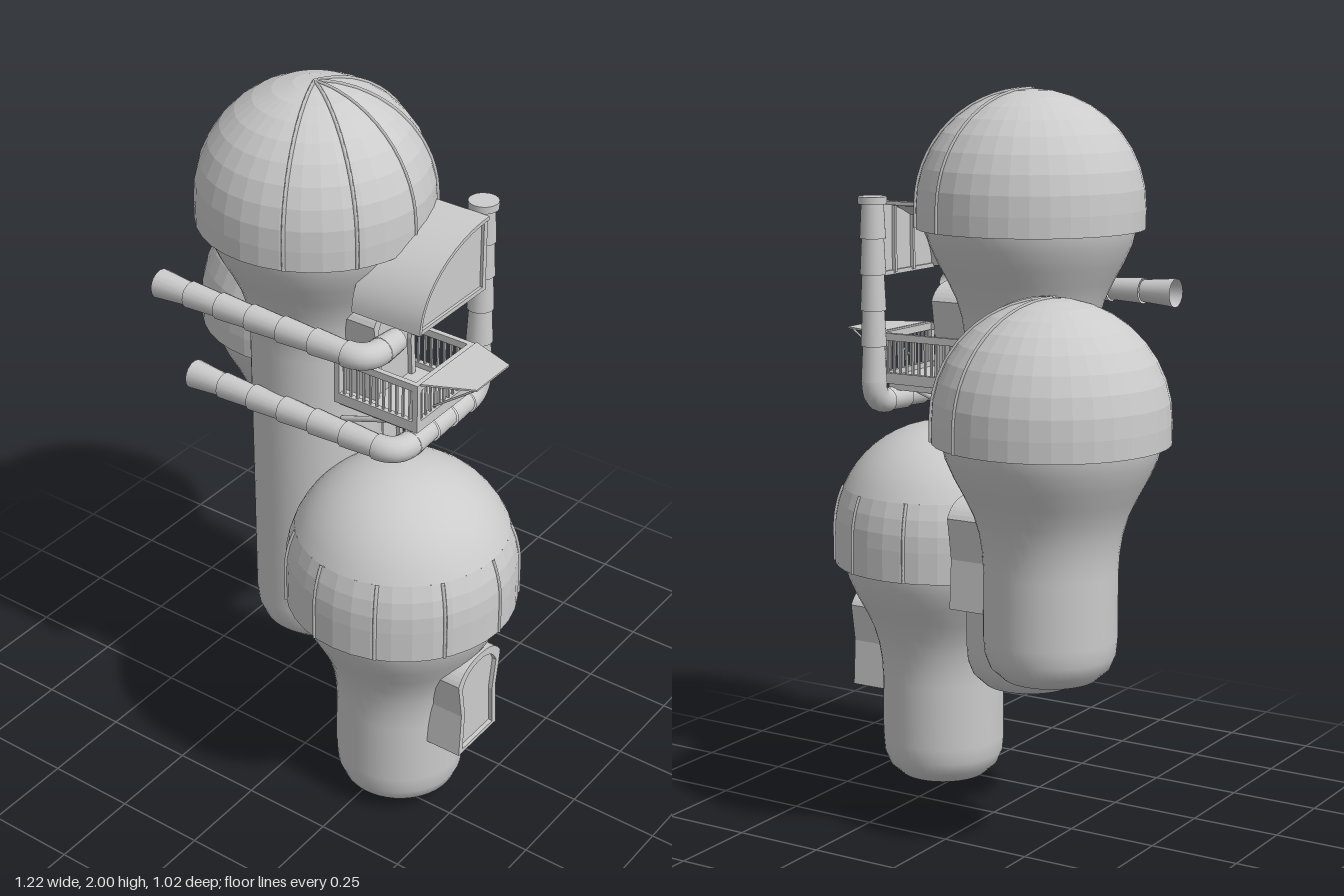
import * as THREE from 'three';
import { toCreasedNormals } from 'three/addons/utils/BufferGeometryUtils.js';

const smooth = new THREE.MeshStandardMaterial({ color: 0xcccccc, side: THREE.DoubleSide });
const flat = new THREE.MeshStandardMaterial({ color: 0xcccccc, side: THREE.DoubleSide, flatShading: true });
const V = (x, y, z) => new THREE.Vector3(x, y, z);
const R = 0.31; // cap radius

function add(parent, name, geometry, material = flat) {
  const mesh = new THREE.Mesh(geometry, material);
  mesh.name = name;
  parent.add(mesh);
  return mesh;
}

function box(parent, name, x0, x1, y0, y1, z0, z1) {
  const m = add(parent, name, new THREE.BoxGeometry(x1 - x0, y1 - y0, z1 - z0));
  m.position.set((x0 + x1) / 2, (y0 + y1) / 2, (z0 + z1) / 2);
  return m;
}

// Straight round bar between two points
function bar(parent, name, a, b, r0, r1 = r0, sides = 8, open = false) {
  const d = b.clone().sub(a);
  const m = add(parent, name, new THREE.CylinderGeometry(r1, r0, d.length(), sides, 1, open), smooth);
  m.position.copy(a).addScaledVector(d, 0.5);
  m.quaternion.setFromUnitVectors(V(0, 1, 0), d.normalize());
  return m;
}

// Cap outline radius at a height above the ball's centre
const capRadius = (h) => (h < 0 ? R : Math.sqrt(Math.max(0, R * R - h * h)));

function capProfile(from, to, steps, r = 0) {
  const a0 = Math.asin(Math.max(from / R, -1)), a1 = Math.asin(to / R), pts = [];
  for (let i = 0; i <= steps; i++) {
    const h = R * Math.sin(a0 + (a1 - a0) * i / steps);
    pts.push(new THREE.Vector2(capRadius(h) + r, h));
  }
  return pts;
}

// Arched door outline, w = half width
function arch(w, y0, y1) {
  const s = new THREE.Shape();
  s.moveTo(-w * 0.9, y0);
  s.lineTo(w * 0.9, y0);
  s.lineTo(w * 0.82, y0 + (y1 - y0) * 0.45);
  s.lineTo(w, y1 - 0.05);
  s.quadraticCurveTo(w * 0.75, y1, 0, y1);
  s.quadraticCurveTo(-w * 0.75, y1, -w, y1 - 0.05);
  s.lineTo(-w * 0.82, y0 + (y1 - y0) * 0.45);
  s.closePath();
  return s;
}

function door(parent, y0, y1) {
  const g = new THREE.Group();
  g.name = 'doorway';
  const frame = arch(0.1, y0, y1);
  frame.holes.push(arch(0.08, y0 + 0.012, y1 - 0.02));
  const solid = (s, depth) => new THREE.ExtrudeGeometry(s, { depth, bevelEnabled: false, curveSegments: 8 });
  add(g, 'doorFrame', solid(frame, 0.155));
  add(g, 'doorPanel', solid(arch(0.085, y0, y1 - 0.012), 0.143));
  g.rotation.y = Math.PI / 2;
  g.position.x = 0.1;
  parent.add(g);
}

function tower(root, name, x, z, base, top, rim, doorY0, doorY1, bandTop, ribAngles) {
  const g = new THREE.Group();
  g.name = name;
  g.position.set(x, 0, z);
  root.add(g);
  // Stem swelling into the bulb under the cap
  const pts = [[0, base], [0.07, base + 0.004], [0.125, base + 0.02], [0.158, base + 0.05], [0.172, base + 0.085],
    [0.176, base + 0.13], [0.176, rim - 0.34], [0.179, rim - 0.29], [0.187, rim - 0.24], [0.202, rim - 0.19],
    [0.226, rim - 0.14], [0.253, rim - 0.09], [0.275, rim - 0.04], [0.284, rim], [0.284, rim + 0.02]];
  add(g, 'stem', new THREE.LatheGeometry(pts.map((p) => new THREE.Vector2(...p)), 48), smooth);
  // Cap: rim underside, faceted shell, optional smooth crown
  const cap = new THREE.Group();
  cap.name = 'cap';
  cap.position.y = top - R;
  g.add(cap);
  const low = rim - (top - R), high = bandTop ? bandTop - (top - R) : R;
  const shell = [new THREE.Vector2(0.28, low), ...capProfile(low, high, bandTop ? 5 : 10)];
  add(cap, 'capShell', new THREE.LatheGeometry(shell, 36));
  if (bandTop) add(cap, 'capCrown', new THREE.LatheGeometry(capProfile(high, R, 10), 48), smooth);
  // Raised seams running down the cap
  for (const deg of ribAngles) {
    const path = capProfile(low, high, 12, 0).map((p) => V(p.x, p.y, 0));
    const rib = add(cap, 'capSeam', new THREE.TubeGeometry(new THREE.CatmullRomCurve3(path), 16, 0.005, 4), smooth);
    rib.rotation.y = THREE.MathUtils.degToRad(deg);
  }
  door(g, doorY0, doorY1);
}

// Jointed pipe: tapered lengths on straight runs, curved elbows between
function pipe(root, name, points) {
  const g = new THREE.Group(), bend = 0.06;
  g.name = name;
  root.add(g);
  for (let i = 0; i < points.length - 1; i++) {
    const dir = points[i + 1].clone().sub(points[i]).normalize();
    const a = points[i].clone().addScaledVector(dir, i ? bend : 0);
    const last = i === points.length - 2;
    const b = points[i + 1].clone().addScaledVector(dir, last ? 0 : -bend);
    const n = Math.max(1, Math.round(a.distanceTo(b) / 0.1));
    for (let k = 0; k < n; k++) {
      bar(g, 'pipeLength', a.clone().lerp(b, k / n), a.clone().lerp(b, (k + 1) / n),
        k === 0 && i === 0 ? 0.04 : 0.036, 0.031, 16, true);
    }
    if (!last) {
      const next = points[i + 2].clone().sub(points[i + 1]).normalize();
      const curve = new THREE.QuadraticBezierCurve3(b, points[i + 1], points[i + 1].clone().addScaledVector(next, bend));
      add(g, 'pipeElbow', new THREE.TubeGeometry(curve, 8, 0.035, 16), smooth);
    }
  }
  return g;
}

function balcony(root) {
  const g = new THREE.Group();
  g.name = 'balcony';
  root.add(g);
  const x0 = 0.1, x1 = 0.36, z0 = -0.025, z1 = 0.235;
  box(g, 'balconyFloor', x0, x1, 1.19, 1.205, z0, z1);
  for (const z of [0.01, 0.105, 0.2]) {
    box(g, 'floorBeam', x0, x1 - 0.02, 1.17, 1.19, z - 0.012, z + 0.012);
    bar(g, 'floorBrace', V(0.1, 1.12, z), V(0.3, 1.19, z), 0.008);
  }
  // Rails and balusters on three sides
  for (const [y, h] of [[1.31, 0.02], [1.205, 0.015]]) {
    box(g, 'rail', x0, x1, y, y + h, z1 - 0.015, z1);
    box(g, 'rail', x0, x1, y, y + h, z0, z0 + 0.015);
    box(g, 'rail', x1 - 0.015, x1, y, y + h, z0, z1);
  }
  const n = 12;
  for (let i = 0; i <= n; i++) {
    const w = i % n ? 0.003 : 0.008, t = i / n;
    const x = x0 + 0.008 + t * (x1 - x0 - 0.016), z = z0 + 0.008 + t * (z1 - z0 - 0.016);
    for (const zz of [z0 + 0.008, z1 - 0.008]) box(g, 'baluster', x - w, x + w, 1.205, 1.32, zz - w, zz + w);
    box(g, 'baluster', x1 - 0.008 - w, x1 - 0.008 + w, 1.205, 1.32, z - w, z + w);
  }
  // Tapered shelf outside the rail, on two struts
  const s = new THREE.Shape([[0.36, 0.03], [0.49, -0.015], [0.49, -0.165], [0.36, -0.225]].map(([x, y]) => new THREE.Vector2(x, y)));
  const shelf = add(g, 'shelf', new THREE.ExtrudeGeometry(s, { depth: 0.005, bevelEnabled: false }));
  shelf.rotation.x = -Math.PI / 2;
  shelf.position.y = 1.327;
  for (const z of [0.03, 0.155]) bar(g, 'shelfStrut', V(0.355, 1.23, z), V(0.487, 1.328, z), 0.003);
}

function canopy(root) {
  const g = new THREE.Group();
  g.name = 'canopy';
  root.add(g);
  // Shapes are drawn with x as -z, then turned to run along +x
  const profile = (inset) => {
    const pts = [];
    for (let i = 0; i <= 12; i++) {
      const a = Math.PI / 2 * i / 12;
      pts.push(new THREE.Vector2(0.045 - (0.3 - inset) * Math.cos(a), 1.49 + (0.205 - inset) * Math.sin(a)));
    }
    return pts;
  };
  const place = (name, shape, x, depth) => {
    const geo = new THREE.ExtrudeGeometry(shape, { depth, bevelEnabled: false });
    const m = add(g, name, toCreasedNormals(geo, 0.4), smooth);
    m.rotation.y = Math.PI / 2;
    m.position.x = x;
  };
  place('canopyRoof', new THREE.Shape([...profile(0), ...profile(0.01).reverse()]), 0.17, 0.207);
  place('canopySide', new THREE.Shape([...profile(0.008), new THREE.Vector2(0.045, 1.49)]), 0.358, 0.006);
  // Side panel framing
  box(g, 'canopyPost', 0.352, 0.372, 1.49, 1.69, -0.045, -0.03);
  box(g, 'canopySill', 0.352, 0.372, 1.485, 1.497, -0.045, 0.25);
  for (const z of [0.05, 0.14]) {
    const h = 0.2 * Math.sqrt(1 - ((z + 0.045) / 0.3) ** 2);
    box(g, 'canopyMullion', 0.348, 0.358, 1.49, 1.49 + h, z - 0.005, z + 0.005);
  }
}

export function createModel() {
  const root = new THREE.Group();
  root.name = 'towerHouse';
  const upper = [-68, -34, 0, 34, 68];
  const around = [-136, -102, -68, -34, 0, 34, 68, 102, 136];
  tower(root, 'tallTower', -0.055, 0.1, 0.345, 2, 1.63, 1.19, 1.475, 0, upper);
  tower(root, 'backTower', -0.3, -0.205, 0.475, 1.49, 1.12, 0.66, 0.955, 0, upper);
  tower(root, 'frontTower', 0.295, 0.2, 0, 1.055, 0.65, 0.26, 0.55, 0.87, around);
  pipe(root, 'upperPipe', [V(-0.36, 1.445, 0.363), V(0.295, 1.445, 0.363), V(0.295, 1.445, 0.235)]);
  const lower = pipe(root, 'lowerPipe',
    [V(-0.325, 1.145, 0.285), V(0.333, 1.145, 0.285), V(0.333, 1.145, -0.085), V(0.333, 1.695, -0.085)]);
  bar(lower, 'pipeLid', V(0.333, 1.69, -0.085), V(0.333, 1.71, -0.085), 0.04, 0.04, 24);
  balcony(root);
  canopy(root);
  return root;
}
